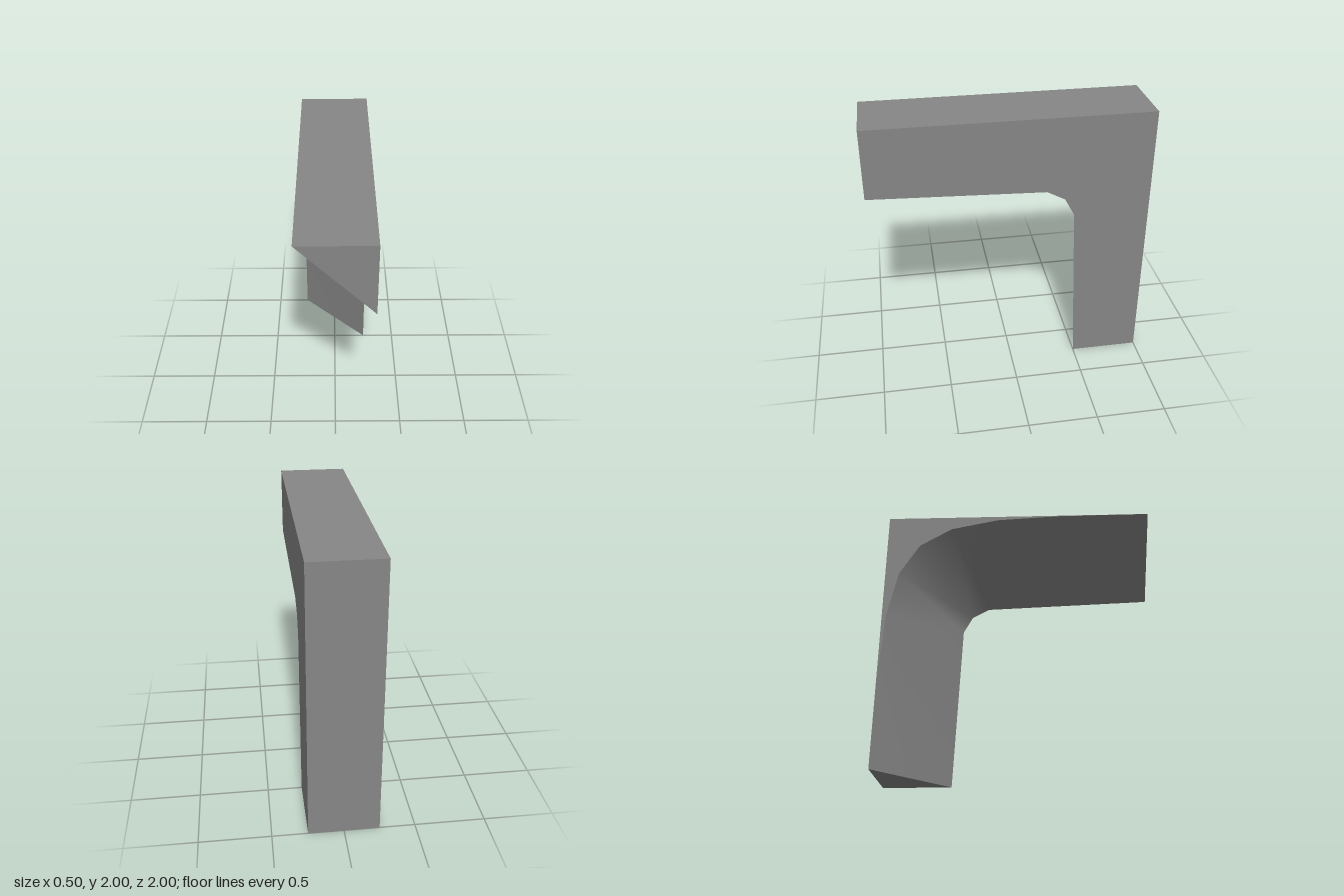
import * as THREE from 'three';

const W = 0.25; // half width

export function createModel() {
  const group = new THREE.Group();
  const gray = new THREE.MeshStandardMaterial({ color: 0x868686 });
  gray.name = 'plain gray';
  const add = (name, geometry) => {
    const mesh = new THREE.Mesh(geometry, gray);
    mesh.name = name;
    group.add(mesh);
    return mesh;
  };
  const shape = (pts) => new THREE.ShapeGeometry(new THREE.Shape(pts.map((p) => new THREE.Vector2(...p))));

  // Inner outlines as [z, y]: a thin curved web on the left side reversed to a thick angular bracket on the other
  const thin = [];
  for (let i = 0; i <= 8; i++) {
    const t = i / 8;
    thin.push([-1 + 2 * t ** 3, 2 - 2 * (1 - t) ** 3]);
  }
  const thick = [[-0.5, 0], [-0.45, 1.25], [-0.38, 1.38], [-0.25, 1.45], [1, 1.5]];

  // Flat sides
  const thickSide = [...thick, [1, 2], [-1, 2], [-1, 0]].map(([z, y]) => [-z, y]);
  add('thickSide', shape(thickSide).rotateY(Math.PI / 2)).position.x = W;
  add('thinSide', shape([...thin, [-1, 2]]).rotateY(-Math.PI / 2)).position.x = -W;

  // Top and back
  add('top', new THREE.PlaneGeometry(2 * W, 2).rotateX(-Math.PI / 2)).position.y = 2;
  add('back', new THREE.PlaneGeometry(2 * W, 2).rotateY(Math.PI).translate(0, 1, -1));

  // Triangular ends of the arm and the leg
  add('armEnd', shape([[-W, 2], [W, 1.5], [W, 2]])).position.z = 1;
  add('legEnd', shape([[-W, -1], [W, -1], [W, -0.5]]).rotateX(Math.PI / 2));

  // Sloping inner surface joining both outlines, with a mid point on each end
  const points = [
    ...thin.map(([z, y]) => [-W, y, z]),
    ...thick.map(([z, y]) => [W, y, z]),
    [0, 0, -0.75], [0, 1.75, 1],
  ];
  const faces = [
    [14, 9, 10], [14, 10, 2], [14, 2, 1], [14, 1, 0], // leg
    [2, 10, 3], [10, 11, 3], [3, 11, 4], [4, 11, 5], [5, 11, 12], [5, 12, 6], // bend
    [6, 12, 15], [12, 13, 15], [15, 8, 7], [15, 7, 6], // arm
  ];
  const inner = new THREE.BufferGeometry();
  inner.setAttribute('position', new THREE.Float32BufferAttribute(points.flat(), 3));
  inner.setIndex(faces.flat());
  inner.computeVertexNormals();
  add('innerSlope', inner);

  return group;
}
